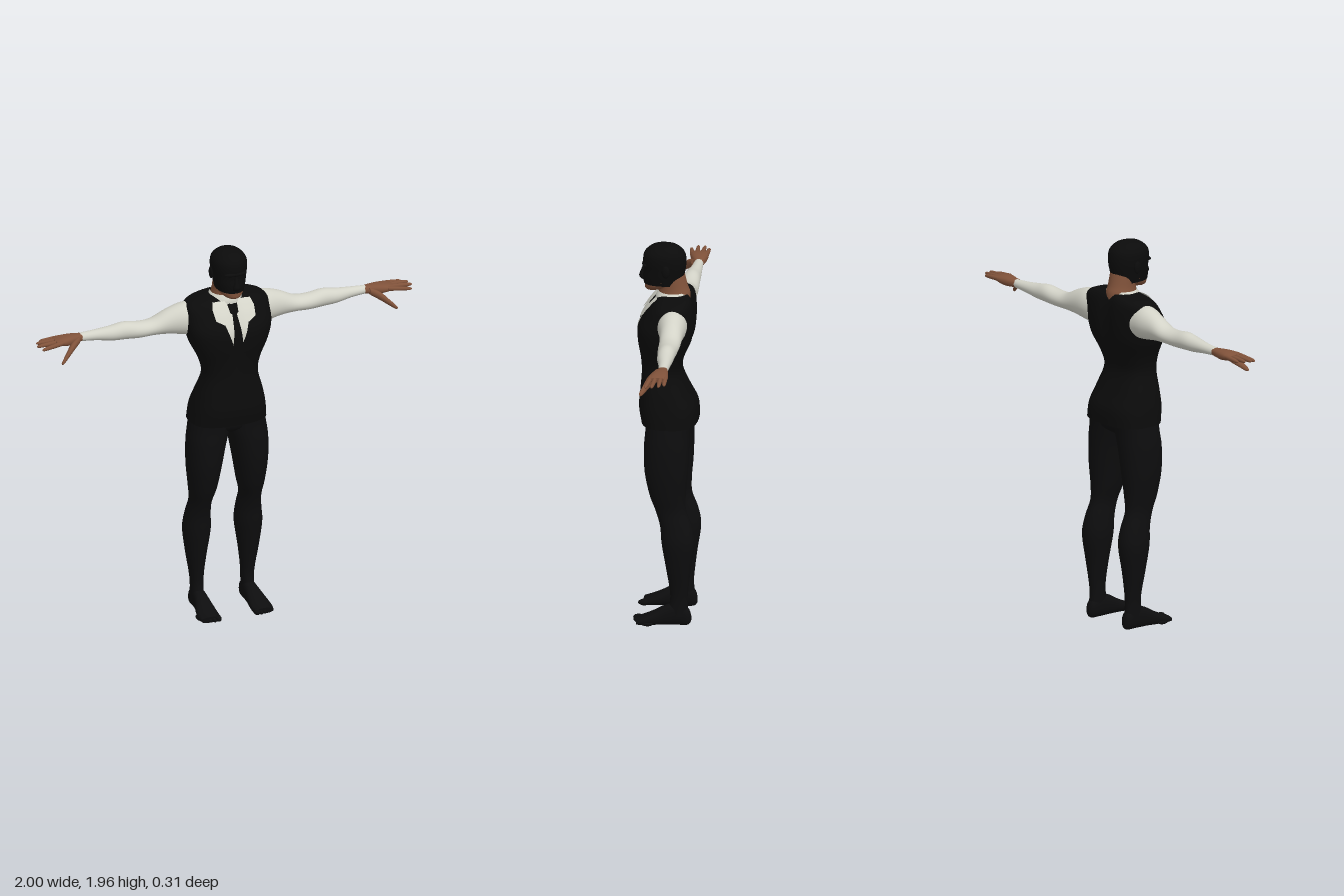
import * as THREE from 'three';

const mat = (name, color, side = THREE.FrontSide) => {
  const m = new THREE.MeshStandardMaterial({ color, side });
  m.name = name;
  return m;
};

// Smooth interpolation between profile rows at parameter u in 0..rows.length-1
function rowAt(rows, u) {
  const i = Math.min(Math.floor(u), rows.length - 2), f = u - i;
  const r = k => rows[Math.max(0, Math.min(rows.length - 1, k))];
  const [a, b, c, d] = [r(i - 1), r(i), r(i + 1), r(i + 2)];
  return b.map((p1, k) => {
    const m1 = (c[k] - a[k]) / 2, m2 = (d[k] - p1) / 2, f2 = f * f, f3 = f2 * f;
    return (2 * f3 - 3 * f2 + 1) * p1 + (f3 - 2 * f2 + f) * m1 + (3 * f2 - 2 * f3) * c[k] + (f3 - f2) * m2;
  });
}

// Skin over cross-sections [t, a0, a1, b0, b1] along an axis (0 x, 1 y, 2 z);
// a and b are the next two axes in cyclic order, n the superellipse power.
function loft(rows, axis, { n = 2, seg = 28, sub = 4, caps = true, tweak } = {}) {
  const pos = [], idx = [], steps = (rows.length - 1) * sub;
  const ring = row => {
    const [t, a0, a1, b0, b1] = row;
    for (let j = 0; j < seg; j++) {
      const th = j / seg * Math.PI * 2, c = Math.cos(th), s = Math.sin(th);
      const p = [0, 0, 0];
      p[axis] = t;
      p[(axis + 1) % 3] = (a0 + a1) / 2 + (a1 - a0) / 2 * Math.sign(c) * Math.abs(c) ** (2 / n);
      p[(axis + 2) % 3] = (b0 + b1) / 2 + (b1 - b0) / 2 * Math.sign(s) * Math.abs(s) ** (2 / n);
      if (tweak) tweak(p);
      pos.push(...p);
    }
  };
  for (let i = 0; i <= steps; i++) ring(rowAt(rows, i / sub));
  for (let i = 0; i < steps; i++) for (let j = 0; j < seg; j++) {
    const k = (j + 1) % seg, a = i * seg + j, b = i * seg + k;
    idx.push(a, b, b + seg, a, b + seg, a + seg);
  }
  if (caps) for (const end of [0, 1]) {
    const base = pos.length / 3, r = rows[end ? rows.length - 1 : 0];
    ring(r);
    const p = [0, 0, 0];
    p[axis] = r[0]; p[(axis + 1) % 3] = (r[1] + r[2]) / 2; p[(axis + 2) % 3] = (r[3] + r[4]) / 2;
    pos.push(...p);
    for (let j = 0; j < seg; j++) {
      const k = (j + 1) % seg;
      idx.push(base + seg, base + (end ? j : k), base + (end ? k : j));
    }
  }
  return finish(pos, idx);
}

function finish(pos, idx) {
  const g = new THREE.BufferGeometry();
  g.setAttribute('position', new THREE.Float32BufferAttribute(pos, 3));
  g.setIndex(idx);
  g.computeVertexNormals();
  return g;
}

function mirrored(geo) {
  const g = geo.clone().scale(-1, 1, 1), a = g.index.array;
  for (let i = 0; i < a.length; i += 3) [a[i], a[i + 1]] = [a[i + 1], a[i]];
  g.computeVertexNormals();
  return g;
}

// Vest profile: y, back z, front z, x range
const vestRows = [
  [1.04, -.155, .125, .197], [1.12, -.15, .138, .187], [1.2, -.11, .132, .168], [1.3, -.072, .125, .14],
  [1.38, -.09, .13, .155], [1.47, -.127, .143, .197], [1.55, -.138, .142, .218], [1.62, -.138, .105, .218],
  [1.665, -.132, .07, .212], [1.69, -.122, .045, .17], [1.705, -.11, .02, .09],
].map(([y, b, f, w]) => [y, b, f, -w, w]);
const VEST_N = 2.7;
// Hollow along the breastbone and spine
const crease = p => {
  const k = Math.exp(-((p[0] / .035) ** 2)) * THREE.MathUtils.smoothstep(p[1], 1.3, 1.45);
  p[2] += p[2] > 0 ? -.012 * k : .018 * k;
};

// Front of the chest at x, y
function chestZ(x, y) {
  let lo = 0, hi = vestRows.length - 1;
  for (let i = 0; i < 30; i++) {
    const m = (lo + hi) / 2;
    if (rowAt(vestRows, m)[0] < y) lo = m; else hi = m;
  }
  const [, b, f, , w] = rowAt(vestRows, lo);
  const p = [x, y, (b + f) / 2 + (f - b) / 2 * Math.max(0, 1 - Math.abs(x / w) ** VEST_N) ** (1 / VEST_N)];
  crease(p);
  return p[2];
}

// Cloth lying on the chest; rows of [y, x0, x1] from bottom to top
function chestPatch(rows, off) {
  const pos = [], idx = [], nu = 10, nv = (rows.length - 1) * 6;
  for (let i = 0; i <= nv; i++) {
    const v = i / 6, k = Math.min(Math.floor(v), rows.length - 2);
    const [y, x0, x1] = rows[k].map((q, c) => q + (rows[k + 1][c] - q) * (v - k));
    for (let j = 0; j <= nu; j++) {
      const x = x0 + (x1 - x0) * j / nu;
      pos.push(x, y, chestZ(x, y) + off);
      if (i < nv && j < nu) {
        const a = i * (nu + 1) + j, b = a + nu + 1;
        idx.push(a, a + 1, b + 1, a, b + 1, b);
      }
    }
  }
  return finish(pos, idx);
}

export function createModel() {
  const root = new THREE.Group();
  const black = mat('vest black', 0x0b0b0b, THREE.DoubleSide);
  const trouser = mat('trouser black', 0x0d0d0e);
  const white = mat('shirt white', 0xd3d3c8, THREE.DoubleSide);
  const skin = mat('skin brown', 0x80523a);
  const add = (name, geo, m) => {
    const mesh = new THREE.Mesh(geo, m);
    mesh.name = name;
    root.add(mesh);
  };
  const pair = (name, geo, m) => {
    add(name + 'Left', geo, m);
    add(name + 'Right', mirrored(geo), m);
  };

  // Vest, shirt front, tie
  add('vest', loft(vestRows, 1, { n: VEST_N, seg: 64, sub: 5, tweak: crease }), black);
  add('shirtFront', chestPatch([[1.45, -.012, .012], [1.6, -.065, .065], [1.69, -.085, .085]], .004), white);
  add('tie', chestPatch([[1.43, -.012, .012], [1.49, -.026, .026], [1.63, -.012, .012], [1.64, -.022, .022], [1.675, -.026, .026]], .008), black);
  pair('collarWing', chestPatch([[1.595, .06, .066], [1.615, .04, .105], [1.66, .028, .11], [1.69, .035, .1]], .01), white);
  add('collarBand', loft([[1.66, -.1, .06, -.11, .11], [1.69, -.108, .058, -.095, .095], [1.715, -.1, .045, -.075, .075]], 1, { caps: false }), white);

  // Neck, jaw and covered head
  add('neck', loft([[1.64, -.11, .04, -.085, .085], [1.7, -.113, .045, -.07, .07], [1.74, -.1, .045, -.064, .064], [1.8, -.085, .06, -.066, .066]], 1), skin);
  add('jaw', loft([[1.715, .06, .1, -.02, .02], [1.725, .02, .112, -.042, .042], [1.745, -.03, .114, -.062, .062], [1.77, -.07, .115, -.072, .072]], 1), skin);
  add('headCover', loft([
    [1.752, -.078, .118, -.068, .068], [1.79, -.082, .122, -.076, .076], [1.83, -.09, .118, -.083, .083],
    [1.87, -.093, .122, -.088, .088], [1.91, -.085, .115, -.084, .084], [1.94, -.055, .085, -.06, .06],
    [1.952, -.025, .055, -.03, .03], [1.956, .01, .02, -.004, .004],
  ], 1, { n: 2.15, seg: 36 }), black);
  add('nose', loft([[1.77, .1, .132, -.018, .018], [1.785, .1, .142, -.019, .019], [1.81, .1, .134, -.012, .012], [1.84, .1, .122, -.008, .008]], 1, { seg: 16 }), black);
  add('brow', new THREE.SphereGeometry(1, 24, 12).scale(.06, .012, .02).translate(0, 1.853, .106), black);
  pair('ear', new THREE.SphereGeometry(1, 16, 12).scale(.011, .032, .02).translate(.086, 1.835, 0), black);

  // Sleeves
  pair('sleeve', loft([
    [.16, 1.5, 1.67, -.115, .025], [.22, 1.507, 1.673, -.117, .025], [.3, 1.52, 1.648, -.11, .006],
    [.38, 1.526, 1.61, -.107, -.002], [.45, 1.524, 1.606, -.103, -.004], [.53, 1.527, 1.616, -.1, -.012],
    [.6, 1.531, 1.606, -.096, -.018], [.68, 1.543, 1.597, -.092, -.034], [.76, 1.55, 1.592, -.088, -.042],
  ], 0), white);

  // Hands: palm, four fingers fanning out, thumb forward and down
  pair('palm', loft([
    [.745, 1.553, 1.589, -.086, -.044], [.79, 1.548, 1.593, -.095, -.032], [.83, 1.545, 1.595, -.1, -.018],
    [.87, 1.553, 1.592, -.102, -.01], [.9, 1.562, 1.585, -.098, -.014],
  ], 0, { n: 2.4 }), skin);
  // Each finger: base z, tip z, tip x, tip y
  const fingers = [[-.09, -.094, .965, 1.57], [-.067, -.07, .992, 1.572], [-.043, -.036, 1, 1.57], [-.02, -.003, .985, 1.562]];
  for (const [zb, zt, xt, yt] of fingers) {
    const rows = [[0, .012], [.5, .011], [.9, .008], [1, .002]].map(([f, r]) => {
      const x = .865 + (xt - .865) * f, y = 1.575 + (yt - 1.575) * f, z = zb + (zt - zb) * f;
      return [x, y - r, y + r, z - r, z + r];
    });
    pair('finger', loft(rows, 0, { seg: 12 }), skin);
  }
  pair('thumb', loft([
    [.775, 1.55, 1.585, -.055, -.025], [.82, 1.523, 1.568, -.035, .006], [.86, 1.497, 1.53, -.002, .026],
    [.885, 1.482, 1.505, .018, .038], [.895, 1.484, 1.492, .028, .036],
  ], 0, { seg: 16 }), skin);

  // Trousers: hips and legs
  add('hips', loft([[.975, -.07, .05, -.08, .08], [1.01, -.12, .09, -.16, .16], [1.07, -.135, .1, -.185, .185]], 1), trouser);
  pair('leg', loft([
    [.05, -.122, -.01, .105, .167], [.13, -.115, -.028, .103, .166], [.2, -.12, -.024, .1, .173],
    [.3, -.132, -.008, .088, .19], [.43, -.15, .014, .07, .205], [.52, -.135, .022, .075, .195],
    [.6, -.107, .045, .08, .185], [.68, -.105, .075, .06, .195], [.8, -.115, .1, .038, .208],
    [.92, -.12, .105, .014, .209], [1, -.122, .1, -.008, .2], [1.07, -.13, .1, -.01, .187],
  ], 1, { n: 2.15 }), trouser);

  // Feet and toes
  pair('foot', loft([
    [-.132, .125, .145, .02, .05], [-.115, .108, .162, .002, .09], [-.06, .102, .166, 0, .115],
    [0, .097, .175, 0, .098], [.05, .091, .188, 0, .07], [.1, .087, .196, 0, .046], [.135, .092, .192, .003, .033],
  ], 2, { n: 2.4 }), trouser);
  for (let i = 0; i < 5; i++) {
    const r = i ? .011 : .016;
    pair('toe', new THREE.SphereGeometry(1, 14, 10).scale(r, r, .03).translate(.103 + i * .021, r + .003, .13 - i * i * .003), trouser);
  }
  return root;
}
